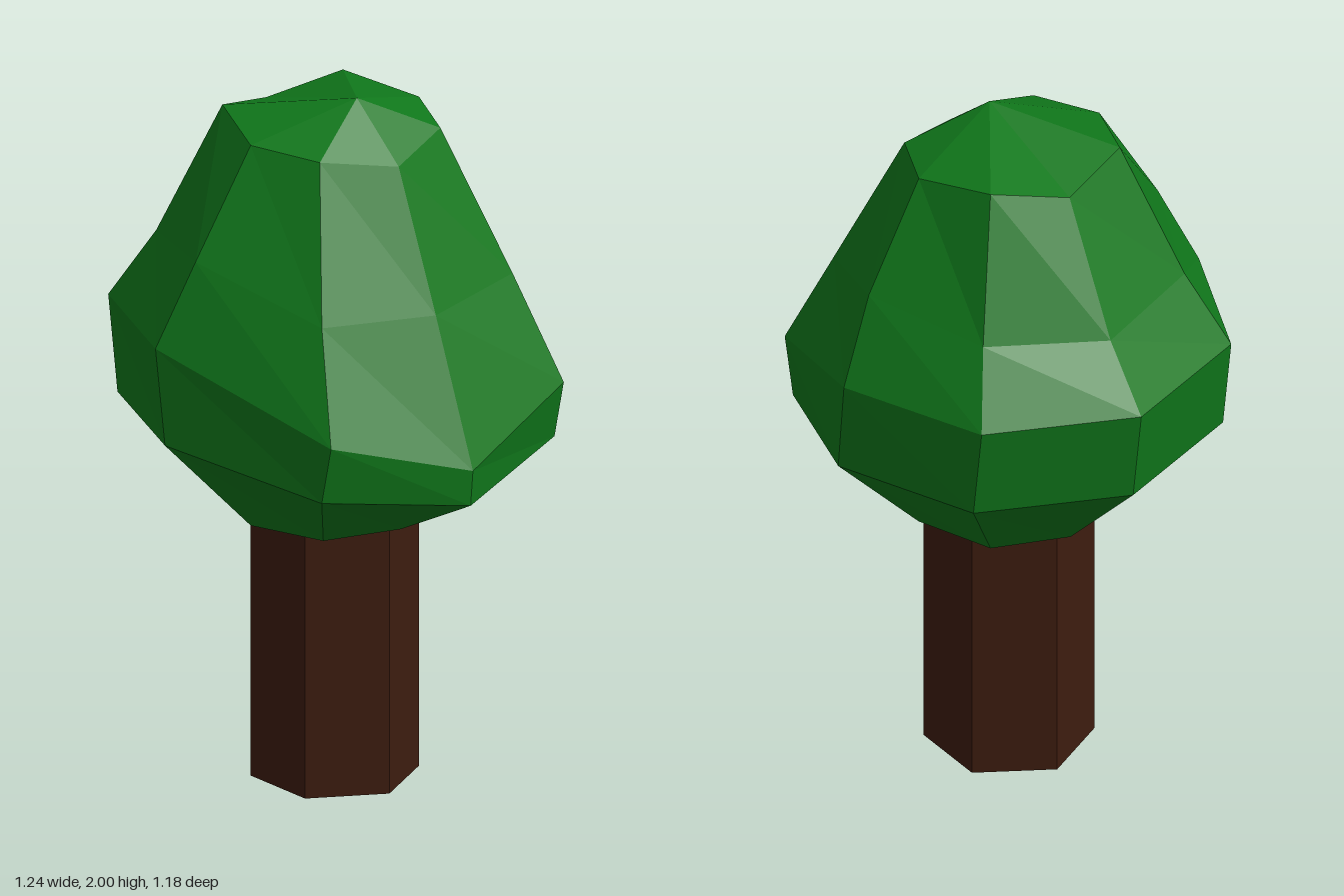
import * as THREE from 'three';

// Half rings of the crown, top to bottom: [x, y, z] from the +x corner round the front to the -x corner
const HALF_RINGS = [
  [[0.30, 1.85, 0], [0.22, 1.89, 0.215], [0.025, 1.905, 0.30], [-0.20, 1.94, 0.215], [-0.27, 1.89, 0]],
  [[0.46, 1.46, 0], [0.38, 1.48, 0.34], [0.005, 1.60, 0.48], [-0.34, 1.56, 0.335], [-0.47, 1.53, 0]],
  [[0.62, 1.05, 0], [0.51, 1.18, 0.415], [-0.035, 1.36, 0.59], [-0.45, 1.36, 0.415], [-0.62, 1.36, 0]],
  [[0.61, 0.945, 0], [0.47, 1.01, 0.415], [0, 1.085, 0.585], [-0.41, 1.085, 0.415], [-0.58, 1.085, 0]],
  [[0.31, 0.79, 0], [0.235, 0.785, 0.215], [0.025, 0.79, 0.30], [-0.20, 0.79, 0.215], [-0.275, 0.79, 0]],
];
const TOP = [0.12, 2, 0];
const BOTTOM = [0.02, 0.69, 0];

// Complete a half ring by mirroring it in z
function fullRing(half) {
  const back = half.slice(1, -1).reverse().map(([x, y, z]) => [x, y, -z]);
  return [...half, ...back];
}

function crownGeometry() {
  const rings = HALF_RINGS.map(fullRing);
  const n = rings[0].length;
  const first = rings[0];
  const last = rings[rings.length - 1];
  const positions = [];
  const tri = (a, b, c) => positions.push(...a, ...b, ...c);
  for (let j = 0; j < n; j++) {
    const k = (j + 1) % n;
    tri(TOP, first[k], first[j]);
    for (let i = 0; i < rings.length - 1; i++) {
      const upper = rings[i];
      const lower = rings[i + 1];
      tri(upper[j], upper[k], lower[j]);
      tri(upper[k], lower[k], lower[j]);
    }
    tri(BOTTOM, last[j], last[k]);
  }
  const geometry = new THREE.BufferGeometry();
  geometry.setAttribute('position', new THREE.Float32BufferAttribute(positions, 3));
  geometry.computeVertexNormals();
  return geometry;
}

export function createModel() {
  const tree = new THREE.Group();
  tree.name = 'tree';

  // Six-sided trunk, its top buried in the crown
  const trunkHeight = 0.85;
  const trunk = new THREE.Mesh(
    new THREE.CylinderGeometry(0.235, 0.235, trunkHeight, 6).rotateY(Math.PI / 2),
    new THREE.MeshStandardMaterial({ color: 0x3d1c0f, flatShading: true })
  );
  trunk.name = 'trunk';
  trunk.position.set(0.025, trunkHeight / 2, 0);
  tree.add(trunk);

  // Lopsided faceted foliage
  const crown = new THREE.Mesh(
    crownGeometry(),
    new THREE.MeshStandardMaterial({ color: 0x10781b, flatShading: true })
  );
  crown.name = 'crown';
  tree.add(crown);

  return tree;
}
